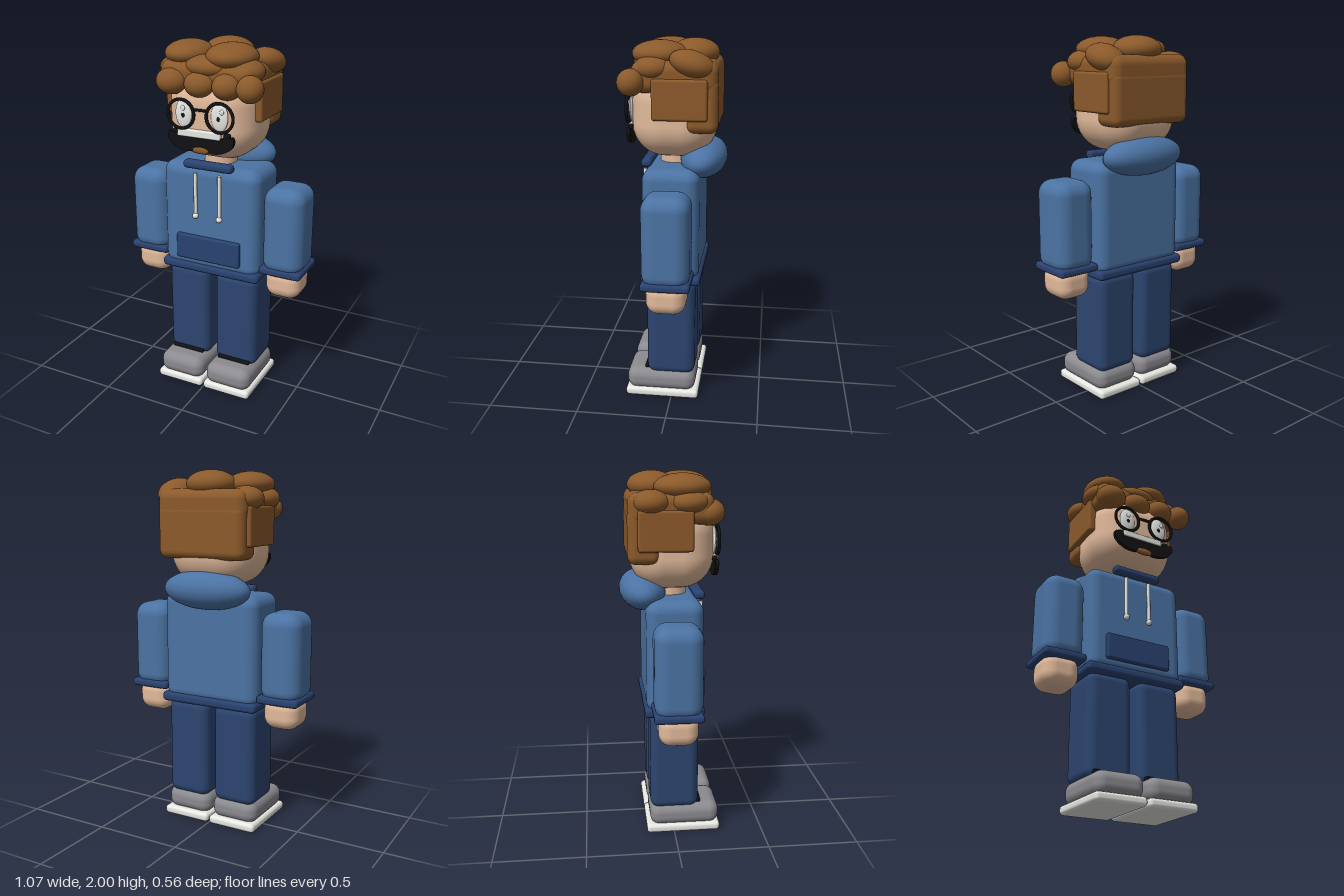
import * as THREE from 'three';
import { RoundedBoxGeometry } from 'three/addons/geometries/RoundedBoxGeometry.js';

const material = (name, color) => {
  const m = new THREE.MeshStandardMaterial({ color });
  m.name = name;
  return m;
};

export function createModel() {
  const hoodie = material('hoodie blue', 0x4b73a3);
  const trim = material('trim navy', 0x2a4270);
  const denim = material('denim navy', 0x2c456f);
  const skin = material('skin', 0xe2ba9b);
  const hair = material('hair brown', 0x8b5a2b);
  const grey = material('shoe grey', 0x8b8b90);
  const white = material('off white', 0xe8e8e4);
  const black = material('black', 0x111113);

  const root = new THREE.Group();
  root.name = 'figure';

  const add = (name, geometry, mat, x = 0, y = 0, z = 0) => {
    const mesh = new THREE.Mesh(geometry, mat);
    mesh.name = name;
    mesh.position.set(x, y, z);
    root.add(mesh);
    return mesh;
  };
  // rounded box given by its limits on each axis
  const block = (name, mat, [x0, x1], [y0, y1], [z0, z1], radius) =>
    add(name, new RoundedBoxGeometry(x1 - x0, y1 - y0, z1 - z0, 5, radius), mat,
      (x0 + x1) / 2, (y0 + y1) / 2, (z0 + z1) / 2);
  const ball = (name, mat, [x, y, z], [rx, ry, rz]) => {
    const mesh = add(name, new THREE.SphereGeometry(1, 32, 20), mat, x, y, z);
    mesh.scale.set(rx, ry, rz);
    return mesh;
  };

  // legs, shoes and arms on both sides
  for (const [side, s] of [['left', 1], ['right', -1]]) {
    const span = (a, b) => (s > 0 ? [a, b] : [-b, -a]);
    block(side + 'Sole', white, span(0.005, 0.295), [0, 0.05], [-0.155, 0.26], 0.02);
    block(side + 'Shoe', grey, span(0.01, 0.288), [0.035, 0.165], [-0.135, 0.255], 0.055);
    block(side + 'Leg', denim, span(0.02, 0.278), [0.14, 0.715], [-0.132, 0.138], 0.05);
    block(side + 'TrouserHem', black, span(0.05, 0.25), [0.16, 0.183], [0.12, 0.152], 0.008);
    block(side + 'Arm', hoodie, span(0.295, 0.528), [0.76, 1.255], [-0.125, 0.13], 0.075);
    block(side + 'Cuff', trim, span(0.29, 0.533), [0.755, 0.8], [-0.13, 0.13], 0.018);
    block(side + 'Hand', skin, span(0.31, 0.515), [0.61, 0.79], [-0.105, 0.108], 0.068);
  }

  // hoodie
  block('torso', hoodie, [-0.293, 0.293], [0.715, 1.34], [-0.15, 0.158], 0.065);
  block('waistband', trim, [-0.3, 0.3], [0.7, 0.755], [-0.162, 0.165], 0.022);
  block('pocket', trim, [-0.195, 0.193], [0.783, 0.93], [0.145, 0.18], 0.012);
  block('collar', trim, [-0.147, 0.145], [1.322, 1.368], [0.122, 0.18], 0.02);
  const hood = ball('hood', hoodie, [0, 1.362, -0.153], [0.26, 0.108, 0.13]);
  hood.rotation.x = 0.2;
  for (const x of [-0.075, 0.07]) {
    add('drawstring', new THREE.CylinderGeometry(0.01, 0.01, 0.25, 12), white, x, 1.175, 0.167);
    ball('drawstringTip', white, [x, 1.052, 0.17], [0.017, 0.017, 0.017]);
  }

  // head
  add('neck', new THREE.CylinderGeometry(0.09, 0.09, 0.14, 24), skin, 0, 1.37, 0);
  block('head', skin, [-0.253, 0.253], [1.38, 1.86], [-0.228, 0.23], 0.18);

  // eyes and glasses
  for (const s of [-1, 1]) {
    const x = s * 0.112;
    ball('eye', white, [x - s * 0.008, 1.64, 0.228], [0.048, 0.077, 0.014]);
    ball('pupil', black, [x - s * 0.01, 1.633, 0.241], [0.01, 0.012, 0.004]);
    ball('eyeGlint', white, [x + 0.01, 1.67, 0.24], [0.012, 0.014, 0.006]);
    add('glassesRim', new THREE.TorusGeometry(0.076, 0.0085, 10, 40), black, x, 1.64, 0.245);
  }
  block('glassesBridge', black, [-0.036, 0.036], [1.662, 1.676], [0.238, 0.252], 0.006);

  // mouth with teeth and lip
  const grin = new THREE.Shape();
  grin.moveTo(-0.185, 1.545);
  grin.quadraticCurveTo(-0.1, 1.525, 0, 1.525);
  grin.quadraticCurveTo(0.1, 1.525, 0.185, 1.545);
  grin.bezierCurveTo(0.215, 1.5, 0.15, 1.44, 0.06, 1.445);
  grin.quadraticCurveTo(0, 1.468, -0.06, 1.445);
  grin.bezierCurveTo(-0.15, 1.44, -0.215, 1.5, -0.185, 1.545);
  const plate = { depth: 0.02, bevelEnabled: false, curveSegments: 16 };
  add('mouth', new THREE.ExtrudeGeometry(grin, plate), black, 0, 0, 0.225);
  block('teeth', white, [-0.135, 0.115], [1.522, 1.562], [0.222, 0.25], 0.008);
  for (const s of [-1, 1]) {
    block('mouthCorner', black, s > 0 ? [0.13, 0.165] : [-0.165, -0.13],
      [1.53, 1.56], [0.215, 0.242], 0.01);
  }
  ball('lip', hair, [0, 1.457, 0.237], [0.06, 0.021, 0.012]);

  // hair cap, back and sides
  block('hairCap', hair, [-0.268, 0.268], [1.735, 1.9], [-0.24, 0.21], 0.055);
  block('hairBack', hair, [-0.262, 0.262], [1.53, 1.82], [-0.242, -0.07], 0.045);
  block('hairSideLeft', hair, [0.235, 0.281], [1.6, 1.813], [-0.19, 0.1], 0.015);
  block('hairSideRight', hair, [-0.284, -0.235], [1.6, 1.813], [-0.19, 0.1], 0.015);

  // curls: centre, radii, tilt
  const curls = [
    [[0, 1.925, -0.1], [0.138, 0.075, 0.13], 0],
    [[-0.16, 1.925, 0.05], [0.126, 0.068, 0.15], 0],
    [[0.1, 1.925, 0.075], [0.137, 0.07, 0.148], 0],
    [[-0.22, 1.85, -0.12], [0.096, 0.065, 0.098], 0],
    [[0.218, 1.885, -0.105], [0.096, 0.068, 0.12], -0.3],
    [[0, 1.875, 0.13], [0.14, 0.06, 0.1], 0],
    [[-0.2, 1.85, 0.08], [0.11, 0.065, 0.11], 0],
    [[0.19, 1.86, 0.1], [0.1, 0.065, 0.1], 0],
    [[-0.19, 1.795, 0.19], [0.088, 0.07, 0.08], 0],
    [[-0.025, 1.79, 0.19], [0.088, 0.068, 0.077], 0],
    [[0.13, 1.792, 0.195], [0.08, 0.068, 0.076], 0],
    [[0.262, 1.793, 0.207], [0.07, 0.07, 0.07], 0],
  ];
  for (const [centre, radii, tilt] of curls) ball('curl', hair, centre, radii).rotation.x = tilt;

  return root;
}
